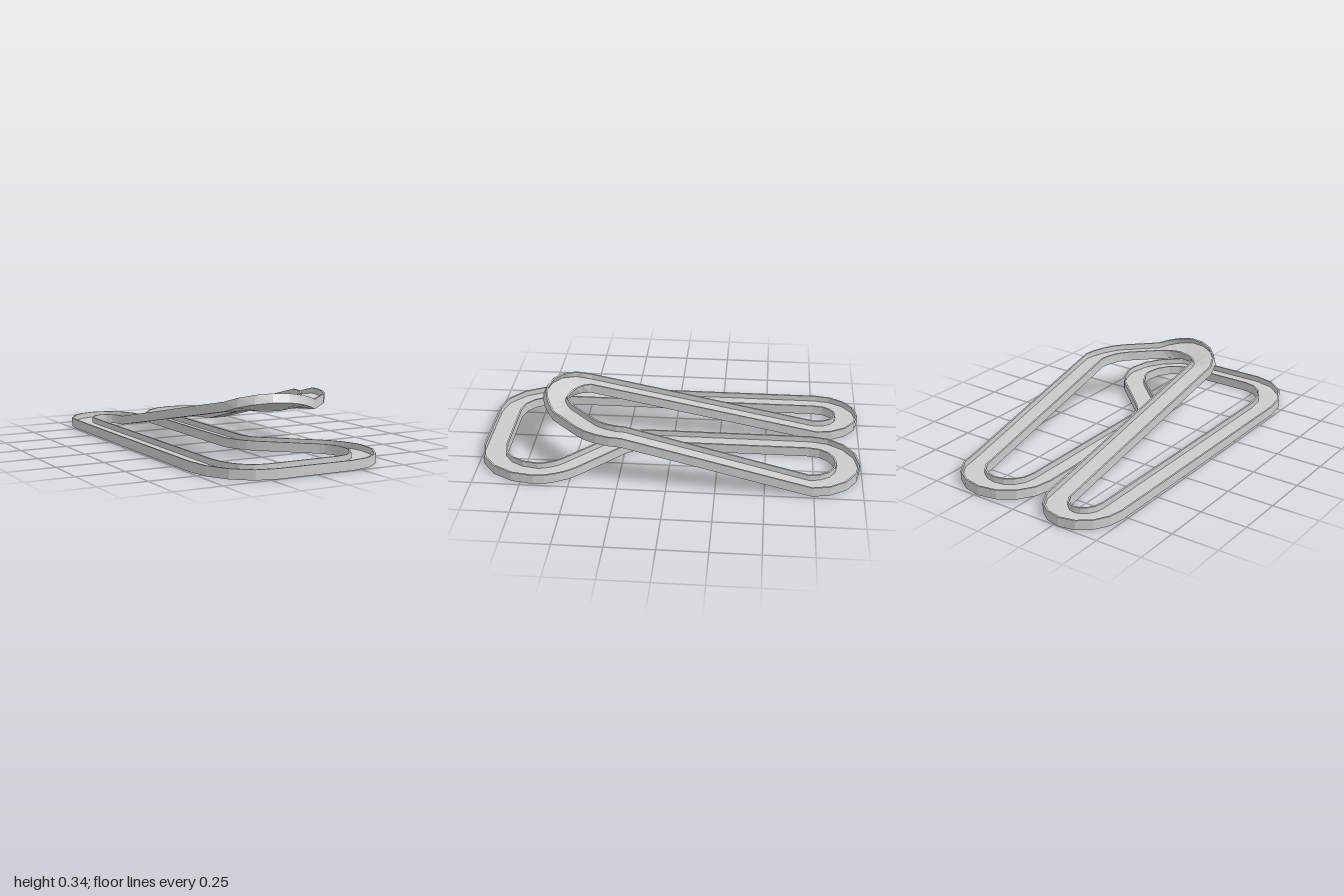
import * as THREE from 'three';

const HALF = 0.063, WALL = 0.05, LIP = 0.009, FLOOR = 0.02, DECK = 0.24, BANK = 0.48;

// Channel section as (sideways, up), running round the outline
const SECTION = [
  [-HALF, 0], [HALF, 0], [HALF, WALL], [HALF - LIP, WALL],
  [HALF - LIP, FLOOR], [-HALF + LIP, FLOOR], [-HALF + LIP, WALL], [-HALF, WALL],
];

// Bends of the closed circuit in order: start, corner, end as [x, z], height, bank phase from/to.
// Straights and ramps are the gaps between successive bends.
const BENDS = [
  { p: [[-0.425, -0.77], [-0.425, -0.937], [-0.28, -0.937]], y: 0 },
  { p: [[-0.28, -0.937], [-0.135, -0.937], [-0.135, -0.77]], y: 0 },
  { p: [[-0.135, 0.46], [-0.135, 0.637], [0.05, 0.637]], y: DECK, bank: [0, 0.62] },
  { p: [[0.05, 0.637], [0.125, 0.637], [0.2, 0.56]], y: DECK, bank: [0.62, 1] },
  { p: [[0.345, 0.42], [0.424, 0.345], [0.424, 0.22]], y: DECK },
  { p: [[0.424, -0.735], [0.424, -0.927], [0.23, -0.927]], y: 0 },
  { p: [[0.23, -0.927], [0.036, -0.927], [0.036, -0.735]], y: 0 },
  { p: [[0.036, 0.13], [0.036, 0.222], [0.11, 0.29]], y: 0 },
  { p: [[0.345, 0.51], [0.424, 0.583], [0.424, 0.68]], y: 0 },
  { p: [[0.424, 0.68], [0.424, 0.933], [0.2, 0.933]], y: 0 },
  { p: [[-0.2, 0.933], [-0.425, 0.933], [-0.425, 0.65]], y: 0 },
];

// Elliptical quarter bend tangent to both legs of its corner
function bendPoints({ p: [a, c, b], y, bank }) {
  const steps = 4, out = [];
  for (let i = 0; i <= steps; i++) {
    const t = i / steps, cs = Math.cos(t * Math.PI / 2), sn = Math.sin(t * Math.PI / 2);
    const at = (k) => {
      const o = a[k] + b[k] - c[k];
      return o + (a[k] - o) * cs + (b[k] - o) * sn;
    };
    const phase = bank ? bank[0] + (bank[1] - bank[0]) * t : 0;
    out.push({ x: at(0), z: at(1), y, roll: BANK * Math.sin(Math.PI * phase) });
  }
  return out;
}

// Sweeps the channel section round the closed path with mitred joints
function sweepChannel(path) {
  const n = path.length, m = SECTION.length, positions = [], index = [];
  const heading = (p, q) => new THREE.Vector2(q.x - p.x, q.z - p.z).normalize();
  path.forEach((p, i) => {
    const before = heading(path[(i + n - 1) % n], p);
    const after = heading(p, path[(i + 1) % n]);
    const dir = before.clone().add(after).normalize();
    const mitre = 1 / dir.dot(before);
    const cos = Math.cos(p.roll), sin = Math.sin(p.roll);
    for (const [s, u] of SECTION) {
      // roll about the inner lower edge
      const side = (-HALF + (s + HALF) * cos - u * sin) * mitre;
      const up = (s + HALF) * sin + u * cos;
      positions.push(p.x - dir.y * side, p.y + up, p.z + dir.x * side);
    }
    for (let j = 0; j < m; j++) {
      const k = (j + 1) % m, next = ((i + 1) % n) * m;
      const a = i * m + j, b = i * m + k, c = next + j, d = next + k;
      index.push(a, c, b, b, c, d);
    }
  });
  const geometry = new THREE.BufferGeometry();
  geometry.setAttribute('position', new THREE.Float32BufferAttribute(positions, 3));
  geometry.setIndex(index);
  const flat = geometry.toNonIndexed();
  flat.computeVertexNormals();
  return flat;
}

export function createModel() {
  const group = new THREE.Group();
  group.name = 'loopTrack';

  // Join the bends, dropping points shared by neighbours
  const path = BENDS.flatMap(bendPoints).filter((p, i, all) => {
    const q = all[(i + all.length - 1) % all.length];
    return Math.hypot(p.x - q.x, p.z - q.z) > 1e-4;
  });

  const material = new THREE.MeshStandardMaterial({ color: 0xcccccc, flatShading: true });
  const channel = new THREE.Mesh(sweepChannel(path), material);
  channel.name = 'trackChannel';
  group.add(channel);
  return group;
}
